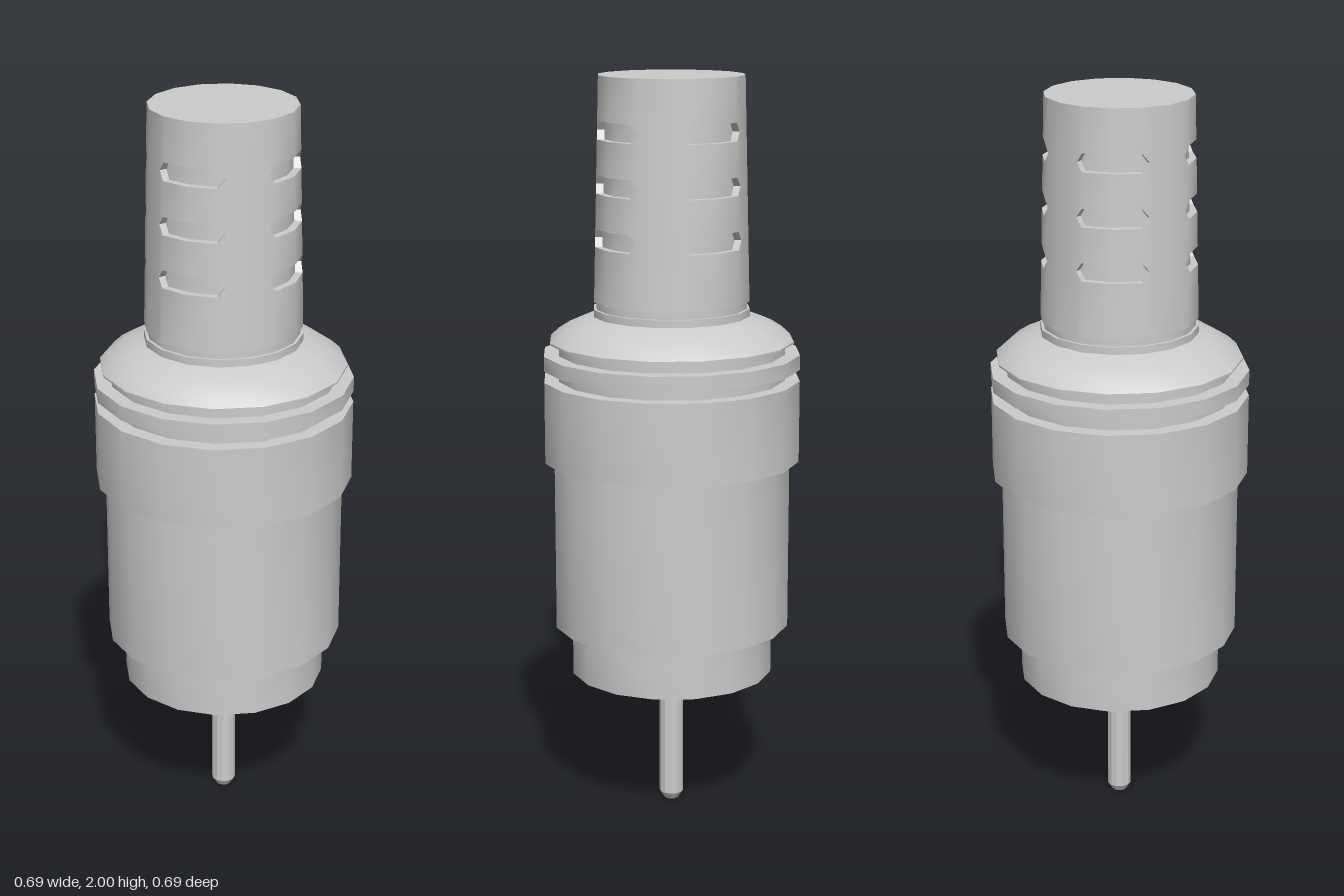
import * as THREE from 'three';
import { toCreasedNormals } from 'three/addons/utils/BufferGeometryUtils.js';

const SIDES = 16;
const CREASE = 0.5;
const grey = new THREE.MeshStandardMaterial({ color: 0xcccccc });

function part(name, geometry) {
  const mesh = new THREE.Mesh(toCreasedNormals(geometry, CREASE), grey);
  mesh.name = name;
  return mesh;
}

function turned(name, profile, sides = SIDES) {
  const points = profile.map(([r, y]) => new THREE.Vector2(r, y));
  return part(name, new THREE.LatheGeometry(points, sides));
}

// Tapered grip wall with slots recessed into its faceted surface
function sleeveGeometry() {
  const bottom = 1.41, top = 2, depth = 0.02, half = 0.024;
  const slots = [1.58, 1.72, 1.86];
  const columns = [-50, -45, -22.5, 0, 6, 22.5, 40];
  const positions = [];

  // Point on the 16-sided tapered surface, optionally sunk inward
  const at = (deg, y, sink = 0) => {
    const step = 360 / SIDES;
    const local = (((deg % step) + step) % step) - step / 2;
    const rad = THREE.MathUtils.degToRad;
    const taper = THREE.MathUtils.mapLinear(y, bottom, top, 0.209, 0.194);
    const r = (taper - sink) * Math.cos(rad(step / 2)) / Math.cos(rad(local));
    return [r * Math.sin(rad(deg)), y, r * Math.cos(rad(deg))];
  };
  const face = (...p) => {
    for (let i = 1; i < p.length - 1; i++) positions.push(...p[0], ...p[i], ...p[i + 1]);
  };

  for (let q = 0; q < 4; q++) {
    const c = columns.map((a) => a + q * 90);
    const cell = (i, y0, y1) =>
      face(at(c[i], y0), at(c[i + 1], y0), at(c[i + 1], y1), at(c[i], y1));

    // Plain bands between the slots
    let from = bottom;
    for (const m of [...slots, top + half]) {
      for (let i = 0; i < 6; i++) cell(i, from, m - half);
      from = m + half;
    }

    for (const m of slots) {
      const b = m - half, t = m + half;
      // Wall between neighbouring slots
      for (const i of [4, 5]) {
        if (i === 5 || c[4] === c[5]) { cell(i, b, m); cell(i, m, t); }
      }
      cell(4, b, m);
      cell(4, m, t);
      // Corners beside the pointed slot ends
      face(at(c[0], b), at(c[1], b), at(c[0], m));
      face(at(c[0], m), at(c[1], t), at(c[0], t));
      face(at(c[3], b), at(c[4], b), at(c[4], m));
      face(at(c[3], t), at(c[4], m), at(c[4], t));
      // Slot side walls
      const rim = [[c[0], m], [c[1], b], [c[2], b], [c[3], b], [c[4], m], [c[3], t], [c[2], t], [c[1], t]];
      rim.forEach((p, i) => {
        const n = rim[(i + 1) % rim.length];
        face(at(...p), at(...n), at(...n, depth), at(...p, depth));
      });
      // Slot floor
      const f = rim.map((p) => at(...p, depth));
      face(f[0], f[1], f[7]);
      face(f[1], f[2], f[6], f[7]);
      face(f[2], f[3], f[5], f[6]);
      face(f[3], f[4], f[5]);
    }
  }

  // Flat end cap
  for (let i = 0; i < SIDES; i++) {
    face([0, top, 0], at(i * 22.5, top), at((i + 1) * 22.5, top));
  }

  const geometry = new THREE.BufferGeometry();
  geometry.setAttribute('position', new THREE.Float32BufferAttribute(positions, 3));
  return geometry;
}

export function createModel() {
  const plug = new THREE.Group();
  plug.name = 'cablePlug';

  // Centre contact with a chamfered tip
  plug.add(turned('centrePin', [[0, 0], [0.02, 0], [0.033, 0.02], [0.033, 0.53]], 12));

  // Hollow front lip and barrel
  plug.add(turned('barrel', [
    [0, 0.52], [0.25, 0.52], [0.25, 0.385], [0.275, 0.385],
    [0.275, 0.52], [0.32, 0.52], [0.32, 0.98],
  ]));

  // Wide collar, grooves and retaining ring
  plug.add(turned('collar', [
    [0.32, 0.98], [0.345, 0.98], [0.345, 1.2], [0.305, 1.2],
    [0.305, 1.23], [0.345, 1.23], [0.345, 1.27], [0.305, 1.27], [0.305, 1.3],
  ]));

  // Rounded shoulder
  plug.add(turned('shoulder', [
    [0.305, 1.3], [0.328, 1.3], [0.328, 1.305], [0.305, 1.326],
    [0.275, 1.345], [0.24, 1.36], [0.2, 1.372],
  ]));

  // Neck with a shallow groove below the grip
  plug.add(turned('neck', [
    [0.21, 1.37], [0.21, 1.39], [0.202, 1.39], [0.202, 1.41], [0.209, 1.41],
  ]));

  plug.add(part('slottedSleeve', sleeveGeometry()));
  return plug;
}
